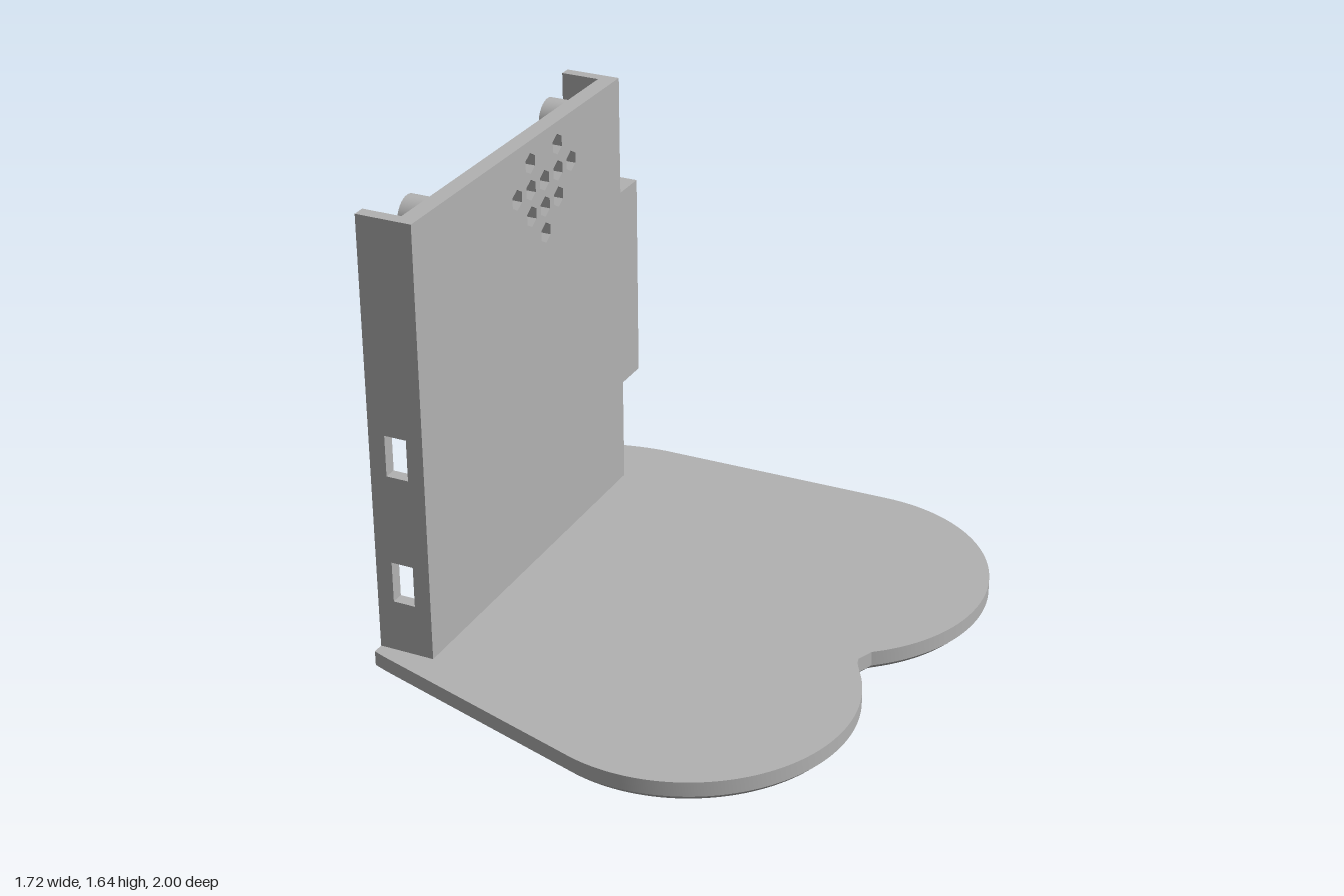
import * as THREE from 'three';
import { toCreasedNormals } from 'three/addons/utils/BufferGeometryUtils.js';

const grey = new THREE.MeshStandardMaterial({ color: 0xb2b2b2 });
grey.name = 'plain grey';

function part(name, geometry, x = 0, y = 0, z = 0) {
  const mesh = new THREE.Mesh(geometry, grey);
  mesh.name = name;
  mesh.position.set(x, y, z);
  return mesh;
}

// Two-lobed base outline in (x, z), with a cut-out behind the panel
function baseOutline() {
  const s = new THREE.Shape();
  const rad = THREE.MathUtils.degToRad;
  s.moveTo(-0.86, -0.93);
  s.quadraticCurveTo(-0.74, -0.98, -0.6, -0.988);
  s.lineTo(0.297, -1);
  s.absarc(0.297, -0.44, 0.56, rad(-90), rad(52), false);
  s.quadraticCurveTo(0.587, 0.041, 0.64, 0.12);
  s.absarc(0.17, 0.435, 0.565, rad(-33.4), rad(106.6), false);
  s.lineTo(-0.82, 0.72);
  s.lineTo(-0.86, 0.705);
  s.lineTo(-0.86, 0.62);
  s.lineTo(-0.72, 0.62);
  s.lineTo(-0.72, -0.71);
  s.lineTo(-0.86, -0.71);
  const pts = s.getPoints(32);
  return pts.filter((p, i) => p.distanceTo(pts[(i + 1) % pts.length]) > 0.004);
}

// Base plate: the curved rim is chamfered underneath, the back edge stays straight
function baseGeometry() {
  const rim = baseOutline();
  const n = rim.length;
  const inset = rim.map((p, i) => {
    const onBack = p.x < -0.7 && p.y > -0.72 && p.y < 0.63;
    if (onBack) return p.clone();
    const a = rim[(i + n - 1) % n], b = rim[(i + 1) % n];
    if (p.x < -0.855) return new THREE.Vector2(p.x, p.y - Math.sign(p.y) * 0.022);
    const t = b.clone().sub(a).normalize();
    return new THREE.Vector2(p.x - t.y * 0.022, p.y + t.x * 0.022);
  });
  const rings = [[inset, 0], [rim, 0.022], [rim, 0.075]];
  const pos = [];
  const put = ([ring, y], i) => pos.push(ring[i % n].x, y, ring[i % n].y);
  for (let k = 0; k < 2; k++) {
    const lo = rings[k], hi = rings[k + 1];
    for (let i = 0; i < n; i++) {
      put(lo, i); put(hi, i); put(hi, i + 1);
      put(lo, i); put(hi, i + 1); put(lo, i + 1);
    }
  }
  for (const [a, b, c] of THREE.ShapeUtils.triangulateShape(rim, [])) {
    put(rings[0], a); put(rings[0], b); put(rings[0], c);
    put(rings[2], a); put(rings[2], c); put(rings[2], b);
  }
  const g = new THREE.BufferGeometry();
  g.setAttribute('position', new THREE.Float32BufferAttribute(pos, 3));
  return toCreasedNormals(g, 0.5);
}

// Upright panel drawn in (z, y), with a cluster of small hexagonal holes
function panelGeometry() {
  const s = new THREE.Shape();
  s.moveTo(-0.75, 0.075);
  s.lineTo(0.665, 0.075);
  s.lineTo(0.665, 1.64);
  s.lineTo(-0.75, 1.64);
  s.closePath();
  const rows = [[1.56, [-1, 1]], [1.465, [-2, -1, 0, 1, 2]], [1.37, [-1, 0, 1]], [1.275, [0]]];
  for (const [y, cols] of rows) {
    for (const c of cols) {
      const pts = [];
      for (let i = 0; i < 6; i++) {
        const a = Math.PI / 2 - (i * Math.PI) / 3;
        pts.push(new THREE.Vector2(-0.195 + c * 0.095 + 0.037 * Math.cos(a), y + 0.037 * Math.sin(a)));
      }
      s.holes.push(new THREE.Path(pts));
    }
  }
  const g = new THREE.ExtrudeGeometry(s, { depth: 0.06, bevelEnabled: false });
  return g.rotateY(-Math.PI / 2);
}

// Side wall drawn in (x, y); its windows run up against the panel
function wallGeometry(windows, depth) {
  const s = new THREE.Shape();
  s.moveTo(-0.86, 0.075);
  s.lineTo(-0.72, 0.075);
  for (const [y0, y1] of windows) {
    s.lineTo(-0.72, y0);
    s.lineTo(-0.8, y0);
    s.lineTo(-0.8, y1);
    s.lineTo(-0.72, y1);
  }
  s.lineTo(-0.72, 1.64);
  s.lineTo(-0.86, 1.64);
  s.closePath();
  return new THREE.ExtrudeGeometry(s, { depth, bevelEnabled: false });
}

// Hollow mounting post pointing to -x
function postGeometry() {
  const profile = [[0.04, 0], [0.0675, 0], [0.0675, 0.1], [0.04, 0.1], [0.04, 0]];
  const g = new THREE.LatheGeometry(profile.map(([r, y]) => new THREE.Vector2(r, y)), 32);
  return toCreasedNormals(g.rotateZ(Math.PI / 2), 0.6);
}

export function createModel() {
  const model = new THREE.Group();
  model.name = 'standWithPanel';

  model.add(part('basePlate', baseGeometry()));
  model.add(part('uprightPanel', panelGeometry(), -0.66));
  model.add(part('frontWall', wallGeometry([[0.262, 0.41], [0.732, 0.88]], 0.045), 0, 0, 0.62));
  model.add(part('backWall', wallGeometry([[0.262, 0.41], [1.28, 1.43]], 0.04), 0, 0, -0.75));

  // Raised block on the back wall
  model.add(part('sideBlock', new THREE.BoxGeometry(0.2, 0.75, 0.13), -0.76, 0.835, -0.815));

  // Four mounting posts behind the panel
  const post = postGeometry();
  for (const y of [0.26, 1.55]) {
    for (const z of [-0.525, 0.417]) model.add(part('mountingPost', post, -0.72, y, z));
  }
  return model;
}
